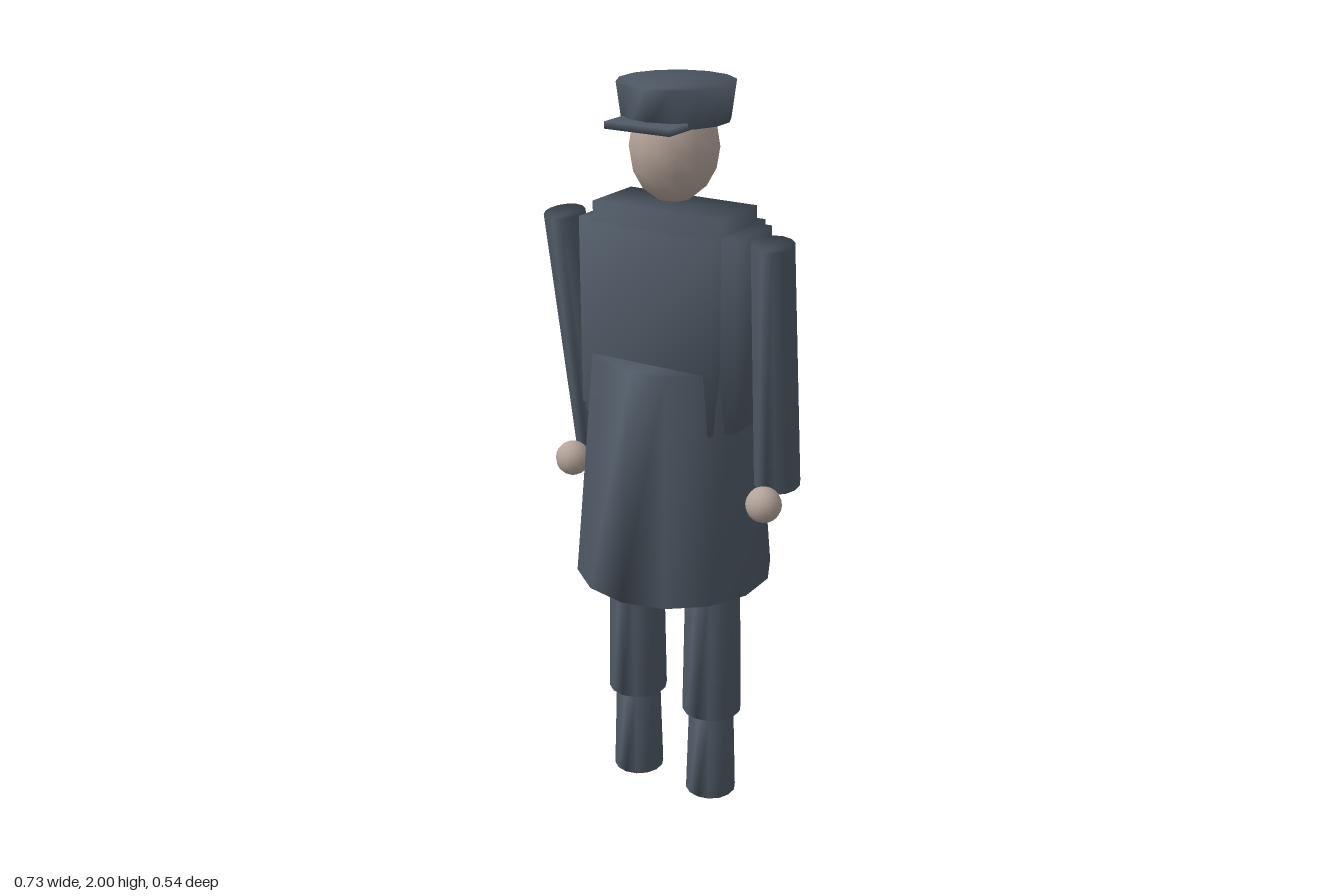
import * as THREE from 'three';
import { mergeVertices } from 'three/addons/utils/BufferGeometryUtils.js';

const cloth = new THREE.MeshStandardMaterial({ color: 0x4f5965 });
cloth.name = 'dark blue grey cloth';
const skin = new THREE.MeshStandardMaterial({ color: 0xb4a399 });
skin.name = 'pale skin';

// Weld all corners so that shading runs smoothly over the whole part
function weld(geometry) {
  geometry.deleteAttribute('normal');
  geometry.deleteAttribute('uv');
  const g = mergeVertices(geometry, 1e-4);
  g.computeVertexNormals();
  return g;
}

// Tapered 14-sided tube with smooth shading, its ends closed by fans
function taper(rTop, rBottom, height, n = 14) {
  const points = [], index = [];
  for (const [r, y] of [[rTop, height / 2], [rBottom, -height / 2]]) {
    for (let i = 0; i < n; i++) {
      const a = (i / n) * Math.PI * 2;
      points.push(r * Math.sin(a), y, r * Math.cos(a));
    }
  }
  for (let i = 0; i < n; i++) {
    const j = (i + 1) % n;
    index.push(i, n + i, j, n + i, n + j, j);
  }
  for (let i = 1; i < n - 1; i++) {
    index.push(0, i, i + 1);
    index.push(n, n + i + 1, n + i);
  }
  const g = new THREE.BufferGeometry();
  g.setAttribute('position', new THREE.Float32BufferAttribute(points, 3));
  g.setIndex(index);
  g.computeVertexNormals();
  return g;
}

export function createModel() {
  const model = new THREE.Group();
  model.name = 'uniformedFigure';

  const add = (name, geometry, material, x, y, z, parent = model) => {
    const mesh = new THREE.Mesh(geometry, material);
    mesh.name = name;
    mesh.position.set(x, y, z);
    parent.add(mesh);
    return mesh;
  };
  const box = (w, h, d) => weld(new THREE.BoxGeometry(w, h, d));

  // Coat: flared skirt and a torso of three crossed blocks with stepped edges
  add('coatSkirt', taper(0.215, 0.268, 0.625), cloth, 0, 0.988, 0);
  const torso = new THREE.Group();
  torso.name = 'torso';
  model.add(torso);
  add('torsoWidth', box(0.468, 0.508, 0.178), cloth, 0, 1.393, 0, torso);
  add('torsoHeight', box(0.38, 0.6, 0.178), cloth, 0, 1.393, 0, torso);
  add('torsoDepth', box(0.38, 0.508, 0.27), cloth, 0, 1.393, 0, torso);

  // Head and peaked cap
  const head = weld(new THREE.SphereGeometry(1, 14, 8));
  head.scale(0.112, 0.141, 0.126);
  head.computeVertexNormals();
  add('head', head, skin, 0, 1.838, 0);
  add('cap', taper(0.151, 0.138, 0.096), cloth, 0, 1.952, -0.01);
  add('capPeak', box(0.187, 0.018, 0.14), cloth, 0, 1.91, 0.103);

  for (const side of [1, -1]) {
    const label = side > 0 ? 'left' : 'right';

    // Leg and boot
    add(label + 'Leg', taper(0.074, 0.083, 0.485), cloth, side * 0.123, 0.505, 0);
    add(label + 'Boot', taper(0.063, 0.071, 0.265), cloth, side * 0.122, 0.1325, 0);

    // Arm leaning back and inwards towards the wrist
    const top = new THREE.Vector3(side * 0.31, 1.64, 0.045);
    const wrist = new THREE.Vector3(side * 0.285, 0.967, -0.055);
    const along = top.clone().sub(wrist);
    const mid = top.clone().add(wrist).multiplyScalar(0.5);
    const arm = add(label + 'Arm', taper(0.055, 0.062, along.length()), cloth, mid.x, mid.y, mid.z);
    arm.quaternion.setFromUnitVectors(new THREE.Vector3(0, 1, 0), along.normalize());

    // Hand
    add(label + 'Hand', weld(new THREE.SphereGeometry(0.048, 14, 10)), skin, side * 0.301, 0.945, 0.047);
  }

  return model;
}
